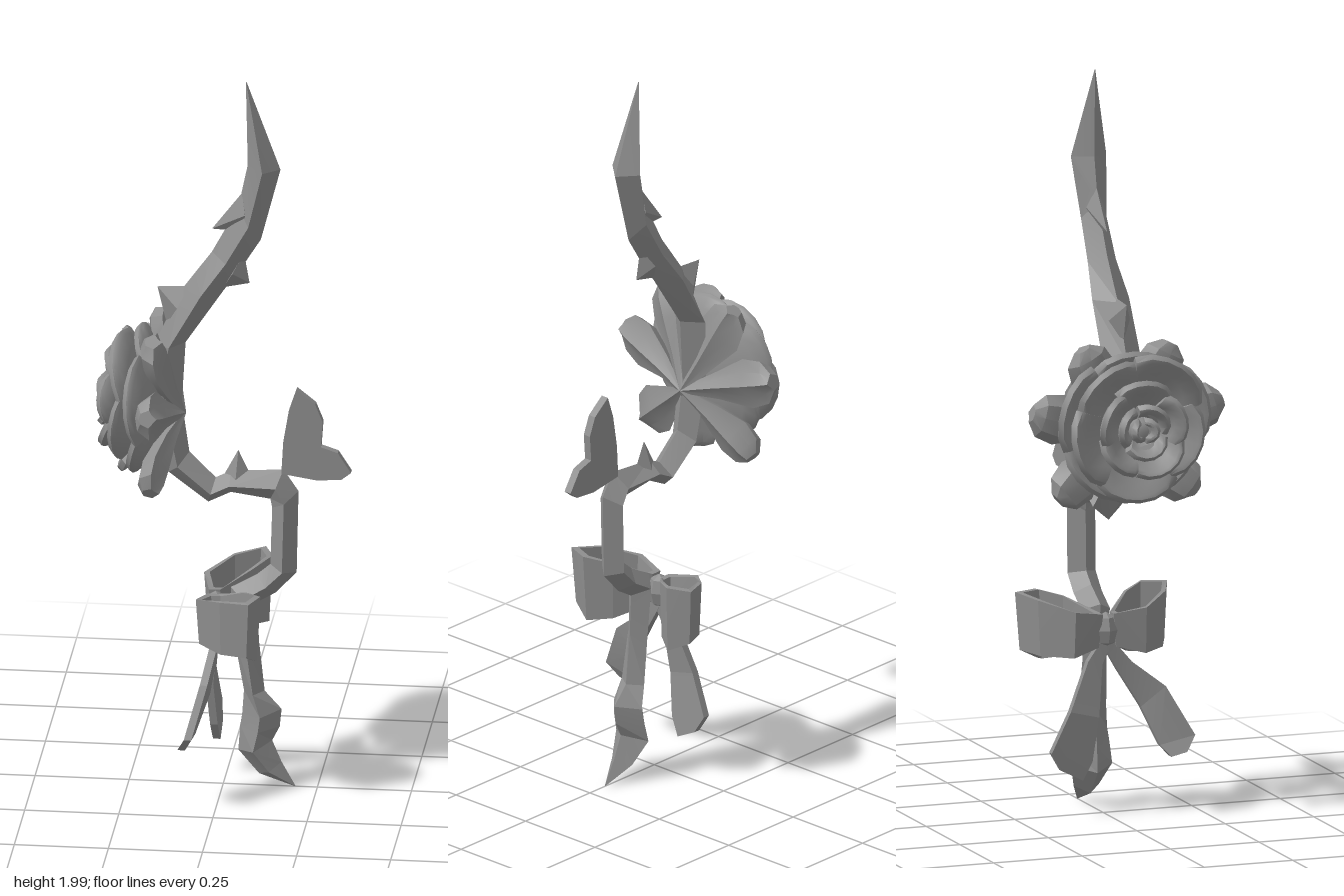
import * as THREE from 'three';
import { toCreasedNormals } from 'three/addons/utils/BufferGeometryUtils.js';

const material = new THREE.MeshStandardMaterial({ color: 0x8e8e8e });

// Skin a list of closed cross-sections; faces are turned outward by signed volume.
function loft(sections, { crease = 0.15, closed = false } = {}) {
  const n = sections[0].length, m = sections.length;
  let tris = [];
  const add = (a, b, c) => {
    if (new THREE.Triangle(a, b, c).getArea() > 1e-9) tris.push([a, b, c]);
  };
  for (let j = 0; j < (closed ? m : m - 1); j++) {
    const a = sections[j], b = sections[(j + 1) % m];
    for (let i = 0; i < n; i++) {
      const k = (i + 1) % n;
      add(a[i], b[i], b[k]);
      add(a[i], b[k], a[k]);
    }
  }
  if (!closed) {
    const a = sections[0], b = sections[m - 1];
    for (let i = 1; i < n - 1; i++) {
      add(a[0], a[i], a[i + 1]);
      add(b[0], b[i + 1], b[i]);
    }
  }
  const volume = tris.reduce((s, [a, b, c]) => s + a.dot(b.clone().cross(c)), 0);
  if (volume < 0) tris = tris.map(([a, b, c]) => [a, c, b]);
  const geo = new THREE.BufferGeometry().setFromPoints(tris.flat());
  return toCreasedNormals(geo, crease);
}

const V = (x, y, z) => new THREE.Vector3(x, y, z);

function part(parent, name, geometry) {
  const mesh = new THREE.Mesh(geometry, material);
  mesh.name = name;
  parent.add(mesh);
  return mesh;
}

function group(parent, name) {
  const g = new THREE.Group();
  g.name = name;
  parent.add(g);
  return g;
}

// Diamond section between two edge points lying in the z = 0 plane
function diamond(lx, ly, rx, ry, w) {
  const mx = (lx + rx) / 2, my = (ly + ry) / 2;
  return [V(lx, ly, 0), V(mx, my, w), V(rx, ry, 0), V(mx, my, -w)];
}

function buildStem(root) {
  // Left edge x, y, right edge x, y, half width in z
  const edges = [
    [0.06, 1.995, 0.062, 1.995, 0.001],
    [0.065, 1.76, 0.152, 1.75, 0.05],
    [0.04, 1.64, 0.10, 1.55, 0.036],
    [-0.03, 1.51, 0.05, 1.47, 0.04],
    [-0.11, 1.40, 0.0, 1.40, 0.052],
    [-0.18, 1.25, -0.10, 1.25, 0.054],
    [-0.19, 1.08, -0.11, 1.08, 0.048],
    [-0.145, 0.88, -0.09, 0.94, 0.042],
    [-0.04, 0.80, -0.02, 0.87, 0.04],
    [0.02, 0.83, 0.02, 0.89, 0.04],
    [0.125, 0.815, 0.16, 0.90, 0.04],
    [0.13, 0.79, 0.20, 0.84, 0.04],
    [0.125, 0.63, 0.195, 0.61, 0.04],
    [0.09, 0.60, 0.14, 0.55, 0.04],
    [0.02, 0.56, 0.09, 0.52, 0.04],
    [0.03, 0.41, 0.095, 0.41, 0.034],
    [0.055, 0.27, 0.11, 0.27, 0.04],
    [0.05, 0.20, 0.155, 0.22, 0.05],
    [0.045, 0.17, 0.15, 0.17, 0.055],
    [0.04, 0.10, 0.13, 0.13, 0.058],
    [0.095, 0.035, 0.155, 0.07, 0.036],
    [0.19, 0.002, 0.192, 0.003, 0.001],
  ];
  part(root, 'stem', loft(edges.map(e => diamond(...e))));

  // Thorns: base from x, y to x, y, then tip x, y, then half width
  const thorns = group(root, 'thorns');
  [
    [0.05, 1.68, 0.07, 1.57, -0.03, 1.575, 0.025],
    [0.055, 1.51, 0.0, 1.41, 0.07, 1.425, 0.03],
    [-0.09, 1.41, -0.15, 1.30, -0.175, 1.405, 0.03],
    [-0.005, 0.865, 0.075, 0.875, 0.04, 0.95, 0.025],
  ].forEach(([ax, ay, bx, by, tx, ty, w]) =>
    part(thorns, 'thorn', loft([diamond(ax, ay, bx, by, w), diamond(tx, ty, tx, ty, 0)])));
}

// Thick outer petal fanning out from the back of the flower
function outerPetal(angle, length) {
  const c = Math.cos(angle), s = Math.sin(angle);
  const profile = [
    // t, half width, centre x, half thickness
    [0, 0.008, -0.105, 0.006], [0.35, 0.036, -0.145, 0.025], [0.7, 0.068, -0.168, 0.035],
    [0.9, 0.058, -0.175, 0.033], [1, 0.024, -0.173, 0.022],
  ];
  return loft(profile.map(([t, w, x, d]) =>
    [[-1, 0.2], [-0.5, 0.5], [0, 1.1], [0.5, 0.5], [1, 0.2], [0.6, -0.8], [0, -1], [-0.6, -0.8]]
      .map(([u, v]) => {
        const r = t * length, q = u * w;
        return V(x + v * d, 1.05 + s * r + c * q, c * r - s * q);
      })), { crease: 0.55 });
}

// Cupped petal wrapped round the flower axis, opening toward -x
function cupPetal(angle, spread, R, x0, x1, thick) {
  const us = [-1, -0.67, -0.33, 0, 0.33, 0.67, 1];
  const rows = [[0, 0], [0.3, 0.8], [0.6, 1], [0.85, 1], [0.96, 0.7], [1, 0]];
  return loft(rows.map(([t, k]) => {
    const point = (u, th) => {
      const tt = t * (1 - 0.26 * u * u), a = angle + u * spread;
      const r = R * (0.2 + 0.8 * Math.sin(tt * Math.PI / 2)) - th * 0.5;
      const x = x0 + (x1 - x0) * Math.pow(tt, 1.3) - th * 0.7;
      return V(x, 1.09 + r * Math.sin(a), r * Math.cos(a));
    };
    return [...us.map(u => point(u, 0)), ...us.slice().reverse().map(u => point(u, thick * k))];
  }), { crease: 0.8 });
}

function buildFlower(root) {
  const flower = group(root, 'flower');
  [[17, 0.28], [63, 0.275], [117, 0.275], [163, 0.28], [219, 0.25], [270, 0.175], [321, 0.25]]
    .forEach(([deg, len]) => part(flower, 'outerPetal', outerPetal(THREE.MathUtils.degToRad(deg), len)));

  // Rings of petals: count, half spread, radius, base x, rim x, start angle
  [
    [5, 0.64, 0.21, -0.16, -0.235, 0.3],
    [5, 0.66, 0.195, -0.20, -0.28, 0.95],
    [5, 0.7, 0.13, -0.235, -0.315, 0.25],
    [3, 1.0, 0.075, -0.24, -0.322, 0.8],
    [2, 1.4, 0.038, -0.24, -0.322, 0.1],
  ].forEach(([count, spread, R, x0, x1, start]) => {
    for (let i = 0; i < count; i++) {
      const vary = 1 + 0.05 * Math.sin(i * 2.4 + R * 40);
      const a = start + i * 2 * Math.PI / count;
      part(flower, 'petal', cupPetal(a, spread, R * vary, x0, x1 + (i % 2) * 0.012, 0.03));
    }
  });
  const bud = part(flower, 'bud', new THREE.SphereGeometry(0.05, 8, 6));
  bud.scale.set(1.9, 1, 1);
  bud.position.set(-0.22, 1.09, 0);
}

function buildBow(root) {
  const bow = group(root, 'bow');
  // Loop seen from above: x, z, top y, bottom y; the lower rim is drawn in
  const ring = [
    [-0.04, 0.015, 0.545, 0.455], [-0.062, 0.10, 0.56, 0.435], [0.01, 0.18, 0.585, 0.435],
    [0.09, 0.215, 0.595, 0.44], [0.115, 0.15, 0.595, 0.41], [0.07, 0.085, 0.58, 0.42],
    [-0.01, 0.015, 0.545, 0.455],
  ];
  for (const side of [-1, 1]) {
    part(bow, 'bowLoop', loft(ring.map(([x, z, top, bottom]) => {
      const at = (y, f) => V(0.025 + (x - 0.025) * f, y, side * (0.11 + (z - 0.11) * f));
      return [at(top, 1), at(bottom, 0.9), at(bottom, 0.73), at(top, 0.83)];
    }), { closed: true }));
  }
  const knot = part(bow, 'bowKnot', toCreasedNormals(new THREE.SphereGeometry(0.04, 6, 4), 0.1));
  knot.scale.set(0.8, 1.2, 0.9);
  knot.position.set(-0.02, 0.5, 0);

  // Tails: outer edge z, y, inner edge z, y, then x
  [
    [[0.01, 0.48, -0.01, 0.46, -0.02], [0.07, 0.41, 0.03, 0.39, -0.02], [0.16, 0.34, 0.09, 0.29, -0.035],
      [0.23, 0.21, 0.13, 0.19, -0.07], [0.20, 0.17, 0.155, 0.16, -0.09]],
    [[-0.01, 0.48, 0.01, 0.46, -0.02], [-0.055, 0.42, -0.015, 0.41, -0.025], [-0.11, 0.29, -0.03, 0.27, -0.04],
      [-0.16, 0.18, -0.045, 0.15, -0.03], [-0.13, 0.13, -0.07, 0.10, -0.025]],
  ].forEach(rows => part(bow, 'bowTail', loft(rows.map(([az, ay, bz, by, x]) =>
    [V(x - 0.01, ay, az), V(x - 0.01, by, bz), V(x + 0.01, by, bz), V(x + 0.01, ay, az)]))));
}

// Flat heart-shaped leaf at the bend of the stem
function buildLeaf(root) {
  const outline = [
    [0.155, 0.89], [0.25, 0.875], [0.315, 0.88], [0.34, 0.90], [0.305, 0.955], [0.26, 0.97],
    [0.265, 1.04], [0.245, 1.09], [0.195, 1.13], [0.175, 1.07], [0.16, 0.98],
  ].map(([x, y]) => new THREE.Vector2(x, y));
  const geo = new THREE.ExtrudeGeometry(new THREE.Shape(outline), { depth: 0.022, bevelEnabled: false });
  part(root, 'heartLeaf', geo.translate(0, 0, -0.014));
}

export function createModel() {
  const root = new THREE.Group();
  root.name = 'floralBow';
  buildStem(root);
  buildFlower(root);
  buildBow(root);
  buildLeaf(root);
  return root;
}
